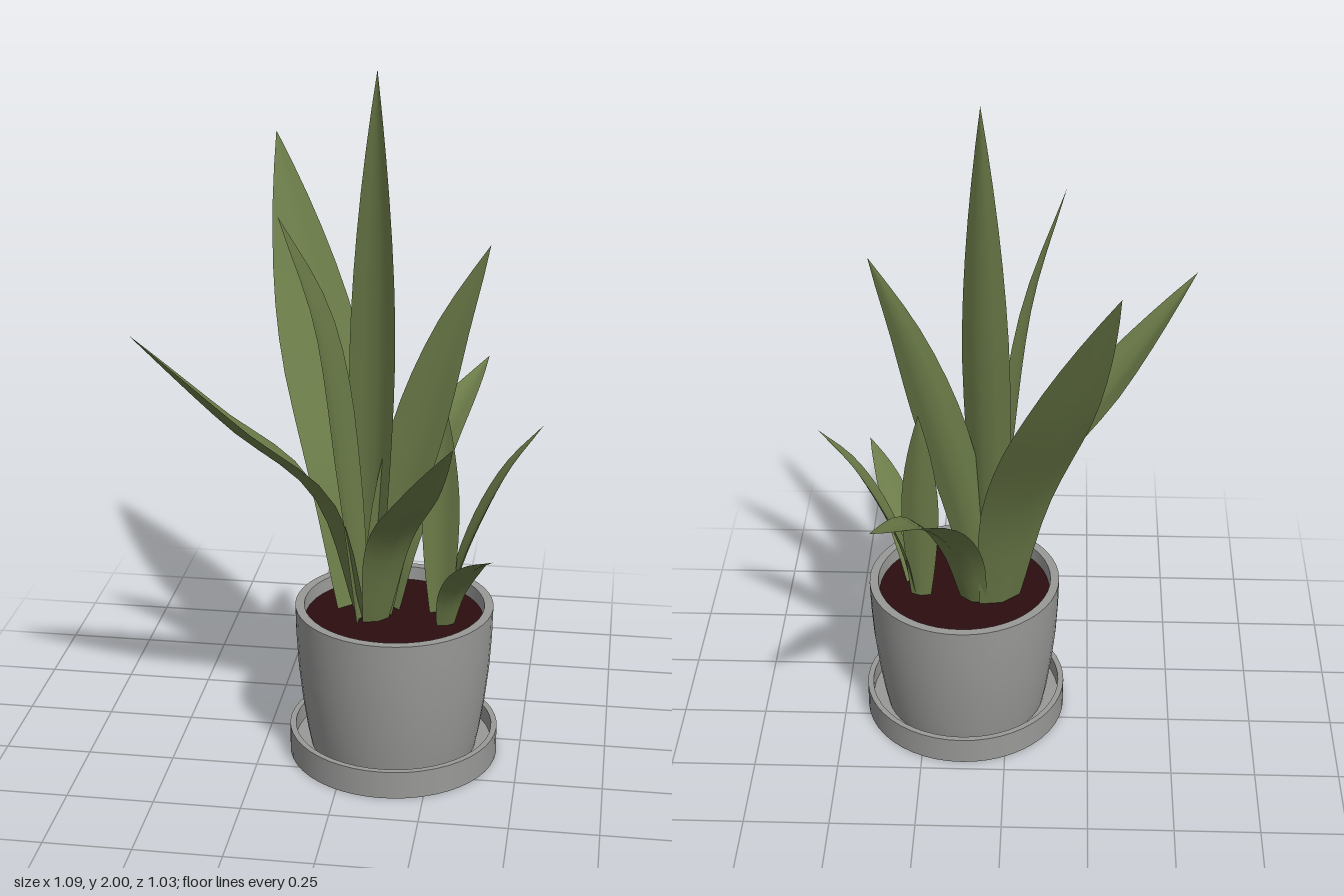
import * as THREE from 'three';

const POT_X = 0.13, POT_Z = 0.085, ROOT_Y = 0.4;

// Midrib: rises from the root to the tip in one vertical plane, bending at two [reach, height] points.
function midrib([x, z], bends, [tipX, tipY, tipZ]) {
  const points = [[0, ROOT_Y], ...bends, [1, tipY]].map(([reach, y]) => new THREE.Vector3(
    THREE.MathUtils.lerp(x, tipX, reach), y, THREE.MathUtils.lerp(z, tipZ, reach)));
  return new THREE.CatmullRomCurve3(points);
}

// Blade: a ribbon folded along the midrib, widest halfway up, narrowing to a point.
function leafGeometry(curve, angle, half) {
  const rows = 14, cols = 4, fold = 0.3, pos = [], index = [];
  const turn = THREE.MathUtils.degToRad(angle);
  for (let i = 0; i <= rows; i++) {
    const s = i / rows;
    const c = curve.getPointAt(s), t = curve.getTangentAt(s);
    const w = new THREE.Vector3(Math.cos(turn), 0, Math.sin(turn));
    w.addScaledVector(t, -w.dot(t)).normalize();
    const n = new THREE.Vector3().crossVectors(w, t);
    if (n.y < 0) n.negate();
    const h = half * (s < 0.5 ? 0.5 + 0.5 * Math.sin(Math.PI * s) : 1 - Math.pow(2 * s - 1, 1.7));
    for (let j = 0; j <= cols; j++) {
      const u = (2 * j) / cols - 1;
      const p = c.clone().addScaledVector(w, u * h).addScaledVector(n, (Math.abs(u) - 0.5) * h * fold);
      pos.push(p.x, p.y, p.z);
      if (i < rows && j < cols) {
        const a = i * (cols + 1) + j, b = a + cols + 1;
        index.push(a, a + 1, b, a + 1, b + 1, b);
      }
    }
  }
  const g = new THREE.BufferGeometry();
  g.setAttribute('position', new THREE.Float32BufferAttribute(pos, 3));
  g.setIndex(index);
  g.computeVertexNormals();
  return g;
}

// Turned part: each run of profile points is smooth, with a hard edge between runs.
function turned(name, runs, material) {
  const group = new THREE.Group();
  group.name = name;
  runs.forEach(run => {
    const profile = run.map(p => new THREE.Vector2(...p));
    const surface = new THREE.Mesh(new THREE.LatheGeometry(profile, 48), material);
    surface.name = name + 'Surface';
    group.add(surface);
  });
  group.position.set(POT_X, 0, POT_Z);
  return group;
}

export function createModel() {
  const model = new THREE.Group();
  model.name = 'pottedPlant';

  const green = new THREE.MeshStandardMaterial({ color: 0x6b7b48, side: THREE.DoubleSide });
  green.name = 'leafGreen';
  const grey = new THREE.MeshStandardMaterial({ color: 0x999998, side: THREE.DoubleSide });
  grey.name = 'potGrey';
  const brown = new THREE.MeshStandardMaterial({ color: 0x2b0d0f });
  brown.name = 'soilBrown';

  // Saucer: hollow tray with a shallow recess underneath
  model.add(turned('saucer', [
    [[0, 0.015], [0.285, 0.015]],
    [[0.285, 0.015], [0.285, 0]],
    [[0.285, 0], [0.304, 0]],
    [[0.304, 0], [0.304, 0.083]],
    [[0.304, 0.083], [0.287, 0.083]],
    [[0.287, 0.083], [0.287, 0.03]],
    [[0.287, 0.03], [0, 0.03]],
  ], grey));

  // Pot: tapered wall, flat rim, open inside
  model.add(turned('pot', [
    [[0.242, 0.03], [0.253, 0.085], [0.267, 0.18], [0.278, 0.28], [0.284, 0.38], [0.286, 0.465]],
    [[0.286, 0.465], [0.26, 0.465]],
    [[0.26, 0.465], [0.255, 0.4]],
  ], grey));

  // Soil
  const soil = new THREE.Mesh(new THREE.CylinderGeometry(0.257, 0.25, 0.03, 40), brown);
  soil.name = 'soil';
  soil.position.set(POT_X, 0.41, POT_Z);
  model.add(soil);

  // Leaves: root [x, z], two bends, tip [x, y, z], width angle in degrees, half width
  const addLeaf = (name, root, bends, tip, angle, half) => {
    const leaf = new THREE.Mesh(leafGeometry(midrib(root, bends, tip), angle, half), green);
    leaf.name = name;
    model.add(leaf);
  };

  // Main clump
  addLeaf('tallLeaf', [0.05, 0.06], [[0.5, 0.9], [0.85, 1.3]], [0.07, 2, 0.05], 30, 0.08);
  addLeaf('broadBackLeaf', [0.02, 0.03], [[0.16, 0.78], [0.6, 1.27]], [-0.3, 1.715, -0.478], -25, 0.125);
  addLeaf('wideSideLeaf', [0.03, 0.08], [[0.2, 0.82], [0.58, 1.06]], [-0.545, 1.345, 0.4], 61, 0.1);
  addLeaf('uprightSideLeaf', [0.04, 0.12], [[0.19, 0.85], [0.5, 1.34]], [-0.16, 1.655, 0.297], 107, 0.077);
  addLeaf('uprightRightLeaf', [0.08, 0.07], [[0.13, 0.7], [0.62, 1.25]], [0.385, 1.54, 0.08], 8, 0.075);
  addLeaf('frontLeaf', [0.08, 0.12], [[0.2, 0.69], [0.6, 0.9]], [0.33, 1.11, 0.515], -30, 0.075);
  addLeaf('backLeaf', [0.1, 0.03], [[0.13, 0.62], [0.45, 0.85]], [0.345, 1.03, -0.515], 23, 0.08);

  // Small clump
  addLeaf('smallRightLeaf', [0.28, 0.08], [[0.15, 0.6], [0.6, 0.87]], [0.54, 1.012, 0.03], 81, 0.055);
  addLeaf('smallFrontLeaf', [0.28, 0.12], [[0.15, 0.53], [0.6, 0.68]], [0.433, 0.755, 0.41], -24, 0.047);
  addLeaf('smallUprightLeaf', [0.26, 0.05], [[0.3, 0.65], [0.6, 0.87]], [0.25, 1.09, -0.01], 6, 0.055);

  return model;
}
